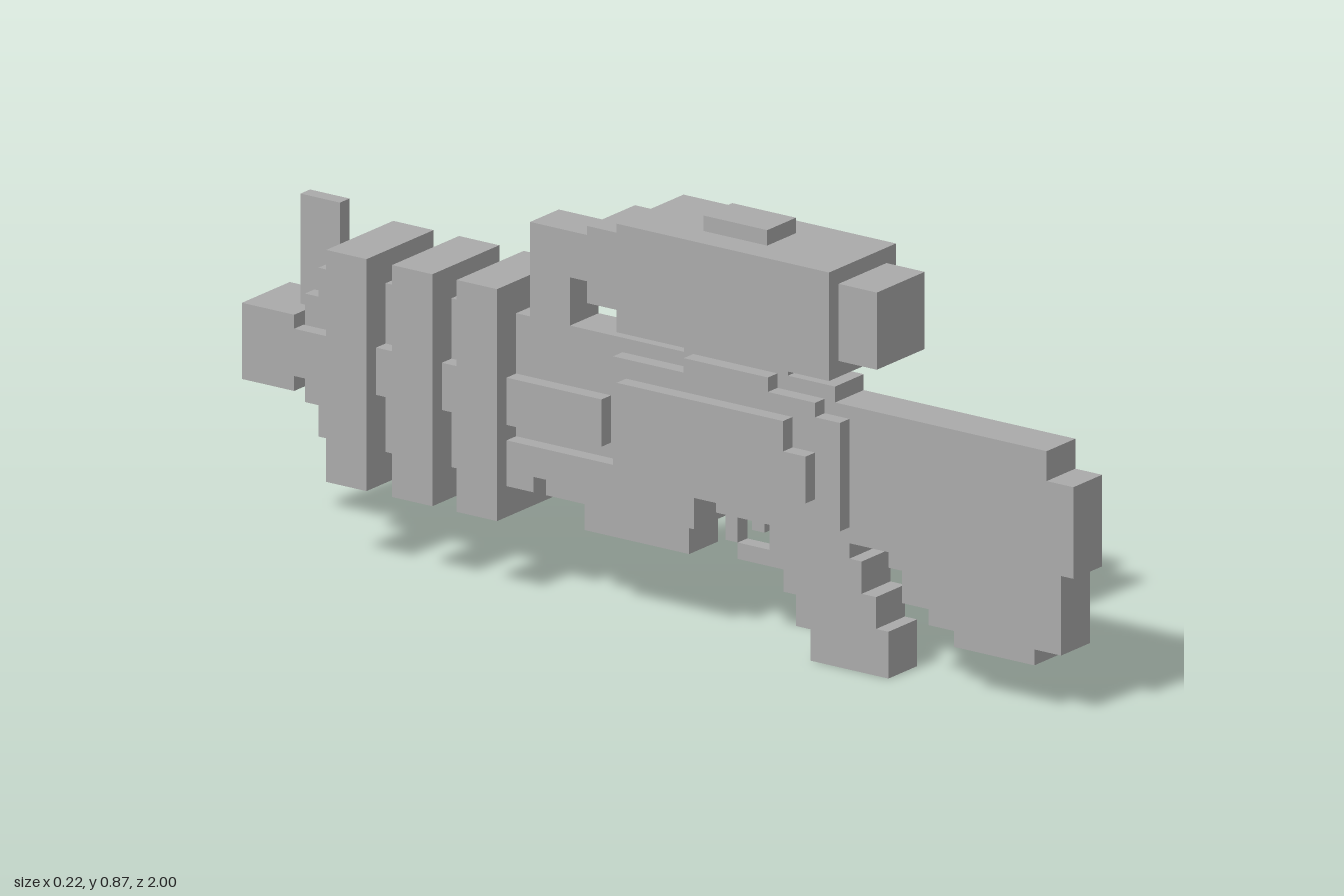
import * as THREE from 'three';

const grey = new THREE.MeshStandardMaterial({ color: 0xaaaaaa });
grey.name = 'plain grey';

// Half widths of the blocky layers, from thinnest to widest
const THIN = 0.016, CORE = 0.048, MID = 0.08, WIDE = 0.112;

export function createModel() {
  const model = new THREE.Group();
  model.name = 'blockRifle';

  const add = (name, geometry) => {
    const mesh = new THREE.Mesh(geometry, grey);
    mesh.name = name;
    model.add(mesh);
    return mesh;
  };

  // Side profile of [z, y] points, extruded from x0 to x1
  const slab = (name, points, x0, x1) => {
    const shape = new THREE.Shape(points.map(([z, y]) => new THREE.Vector2(z, y)));
    const geometry = new THREE.ExtrudeGeometry(shape, { depth: x1 - x0, bevelEnabled: false });
    geometry.rotateY(-Math.PI / 2);
    geometry.translate(x1, 0, 0);
    return add(name, geometry);
  };
  const centred = (name, points, half) => slab(name, points, -half, half);
  const paired = (name, points, inner, outer) => {
    slab(name + 'Left', points, inner, outer);
    slab(name + 'Right', points, -outer, -inner);
  };

  // Box centred on x, given its z and y ranges
  const block = (name, half, z0, z1, y0, y1) => {
    const geometry = new THREE.BoxGeometry(2 * half, y1 - y0, z1 - z0);
    geometry.translate(0, (y0 + y1) / 2, (z0 + z1) / 2);
    return add(name, geometry);
  };
  const rect = (z0, z1, y0, y1) => [[z0, y0], [z1, y0], [z1, y1], [z0, y1]];

  // Stock, receiver, grip and barrel core in one stepped profile
  centred('body', [
    [1, 0.295], [1, 0.485], [0.935, 0.485], [0.935, 0.547], [0.42, 0.547], [0.42, 0.58],
    [-0.837, 0.58], [-0.837, 0.52], [-0.87, 0.52], [-0.87, 0.295], [-0.837, 0.295], [-0.837, 0.23],
    [-0.29, 0.23], [-0.29, 0.262], [-0.26, 0.262], [-0.26, 0.23], [0.1, 0.23], [0.1, 0.295],
    [0.13, 0.295], [0.13, 0.262], [0.26, 0.262], [0.26, 0.197], [0.295, 0.197], [0.295, 0.13],
    [0.325, 0.13], [0.325, 0.065], [0.36, 0.065], [0.36, 0], [0.55, 0], [0.55, 0.097],
    [0.52, 0.097], [0.52, 0.163], [0.485, 0.163], [0.485, 0.23], [0.455, 0.23], [0.455, 0.262],
    [0.55, 0.262], [0.55, 0.23], [0.583, 0.23], [0.583, 0.163], [0.647, 0.163], [0.647, 0.13],
    [0.71, 0.13], [0.71, 0.097], [0.905, 0.097], [0.905, 0.13], [0.97, 0.13], [0.97, 0.295],
  ], CORE);

  // Trigger and its guard
  block('trigger', THIN, 0.195, 0.225, 0.23, 0.262);
  centred('triggerGuard', [
    [0.295, 0.163], [0.295, 0.197], [0.16, 0.197], [0.16, 0.295],
    [0.13, 0.295], [0.13, 0.197], [0.16, 0.197], [0.16, 0.163],
  ], THIN);
  block('foregrip', CORE, -0.19, 0.065, 0.163, 0.23);

  // Layered receiver side panels
  paired('sidePanel', [
    [0.455, 0.295], [0.455, 0.52], [0.395, 0.52], [0.395, 0.55], [0.28, 0.55], [0.28, 0.58],
    [0.075, 0.58], [0.075, 0.55], [-0.097, 0.55], [-0.097, 0.325], [-0.36, 0.325], [-0.36, 0.23],
    [-0.29, 0.23], [-0.29, 0.262], [-0.26, 0.262], [-0.26, 0.23], [0.1, 0.23], [0.1, 0.295],
  ], CORE, MID);
  paired('raisedPanel', [
    [0.395, 0.35], [0.395, 0.447], [0.34, 0.447], [0.34, 0.51],
    [-0.065, 0.51], [-0.065, 0.447], [-0.005, 0.447], [-0.005, 0.35],
  ], MID, WIDE);

  // Barrel rails, rings and muzzle
  paired('barrelRail', rect(-0.875, -0.125, 0.357, 0.455), CORE, MID);
  for (const z of [-0.405, -0.5625, -0.7225]) {
    block('barrelRing', WIDE, z - 0.049, z + 0.049, 0.166, 0.647);
  }
  block('muzzle', MID, -1, -0.873, 0.326, 0.484);
  block('frontSight', THIN, -0.904, -0.808, 0.484, 0.712);

  // Scope with mount, knob and front bracket
  block('scopeBody', WIDE, -0.065, 0.452, 0.615, 0.84);
  block('scopeTube', MID, -0.16, 0.545, 0.648, 0.808);
  block('scopeKnob', CORE, 0.1, 0.255, 0.84, 0.872);
  block('scopeMount', CORE, 0.052, 0.305, 0.58, 0.615);
  centred('scopeBracket', [
    [-0.16, 0.68], [-0.16, 0.776], [-0.322, 0.776], [-0.322, 0.58], [-0.225, 0.58], [-0.225, 0.68],
  ], CORE);

  return model;
}
